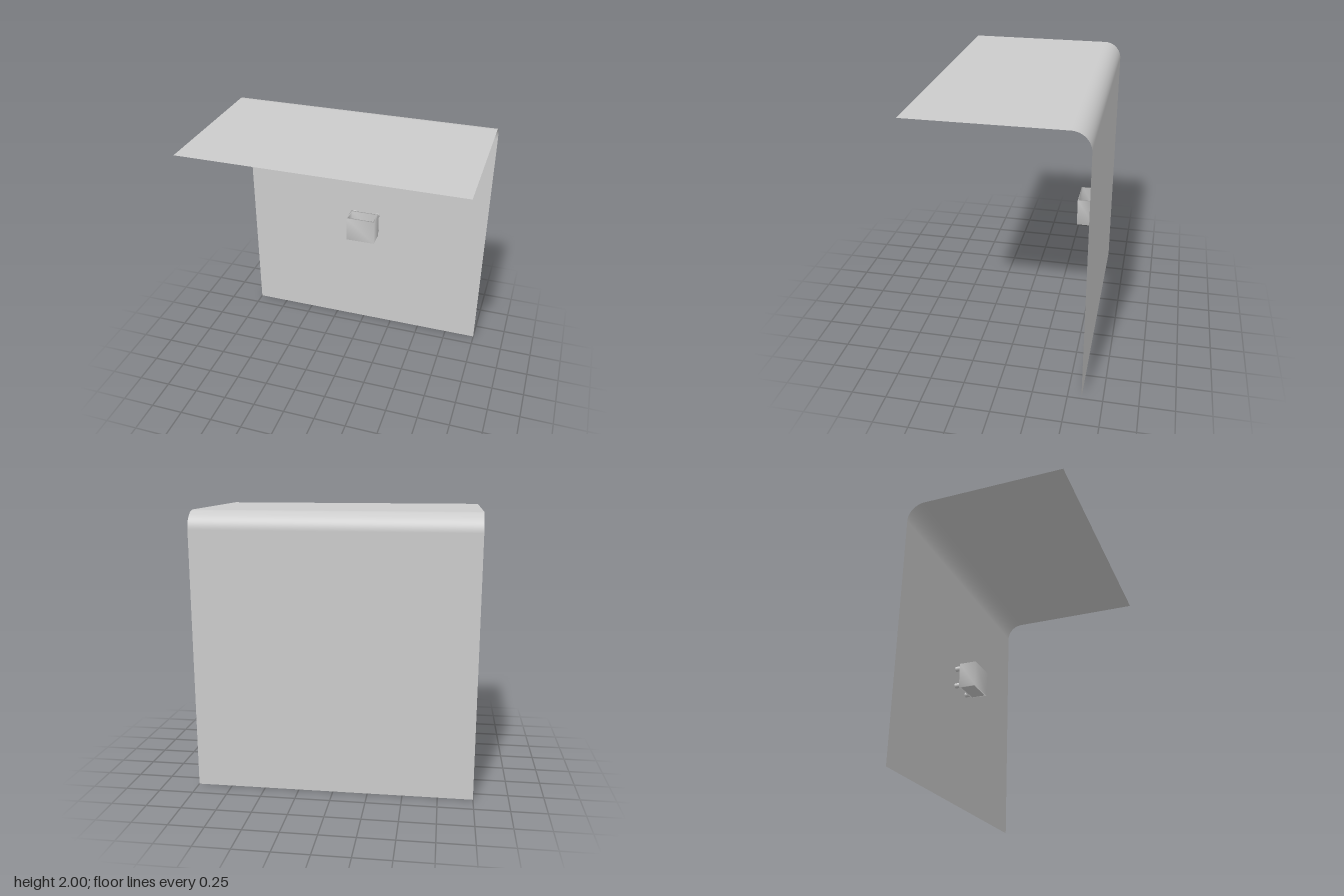
import * as THREE from 'three';
import { mergeVertices } from 'three/addons/utils/BufferGeometryUtils.js';

const grey = new THREE.MeshStandardMaterial({ color: 0xcccccc, side: THREE.DoubleSide });

function addMesh(parent, name, geometry, x = 0, y = 0, z = 0) {
  const mesh = new THREE.Mesh(geometry, grey);
  mesh.name = name;
  mesh.position.set(x, y, z);
  parent.add(mesh);
  return mesh;
}

// Welds corners so shading runs softly across the edges
function soften(geometry) {
  geometry.deleteAttribute('normal');
  geometry.deleteAttribute('uv');
  const welded = mergeVertices(geometry, 1e-4);
  welded.computeVertexNormals();
  return welded;
}

function rectangle(target, w, d) {
  target.moveTo(-w / 2, -d / 2);
  target.lineTo(w / 2, -d / 2);
  target.lineTo(w / 2, d / 2);
  target.lineTo(-w / 2, d / 2);
  target.closePath();
  return target;
}

// Thin sheet: flat canopy, rounded bend, upright wall
function sheetGeometry() {
  const radius = 0.13, steps = 20;
  const profile = [[0.6, 2]];
  for (let i = 0; i <= steps; i++) {
    const a = (i / steps) * Math.PI / 2;
    profile.push([-0.6 + radius - radius * Math.sin(a), 2 - radius + radius * Math.cos(a)]);
  }
  profile.push([-0.6, 0]);
  const geometry = new THREE.PlaneGeometry(2, 1, 1, profile.length - 1);
  const pos = geometry.attributes.position;
  for (let i = 0; i < pos.count; i++) {
    const [z, y] = profile[Math.floor(i / 2)];
    pos.setXYZ(i, pos.getX(i), y, z);
  }
  geometry.computeVertexNormals();
  return geometry;
}

export function createModel() {
  const model = new THREE.Group();
  addMesh(model, 'bentSheet', sheetGeometry());

  // Open-topped holder in front of the wall
  const holder = new THREE.Group();
  holder.name = 'holder';
  holder.position.set(0.005, 0.9, -0.49);
  model.add(holder);

  const width = 0.236, depth = 0.136, height = 0.2, wall = 0.012;
  const outline = rectangle(new THREE.Shape(), width, depth);
  outline.holes.push(rectangle(new THREE.Path(), width - 2 * wall, depth - 2 * wall));
  const walls = new THREE.ExtrudeGeometry(outline, { depth: height, bevelEnabled: false });
  walls.rotateX(-Math.PI / 2);
  addMesh(holder, 'holderWalls', soften(walls));
  addMesh(holder, 'holderFloor',
    new THREE.BoxGeometry(width - 2 * wall, wall, depth - 2 * wall), 0, wall / 2 + 0.001, 0);

  // Four stand-off pegs reaching back to the wall
  for (const x of [-0.095, 0.095]) {
    for (const y of [0.025, 0.168]) {
      const peg = new THREE.CylinderGeometry(0.02, 0.02, 0.042, 16);
      peg.rotateX(Math.PI / 2);
      addMesh(holder, 'standoffPeg', peg, x, y, -depth / 2 - 0.02);
    }
  }
  return model;
}
